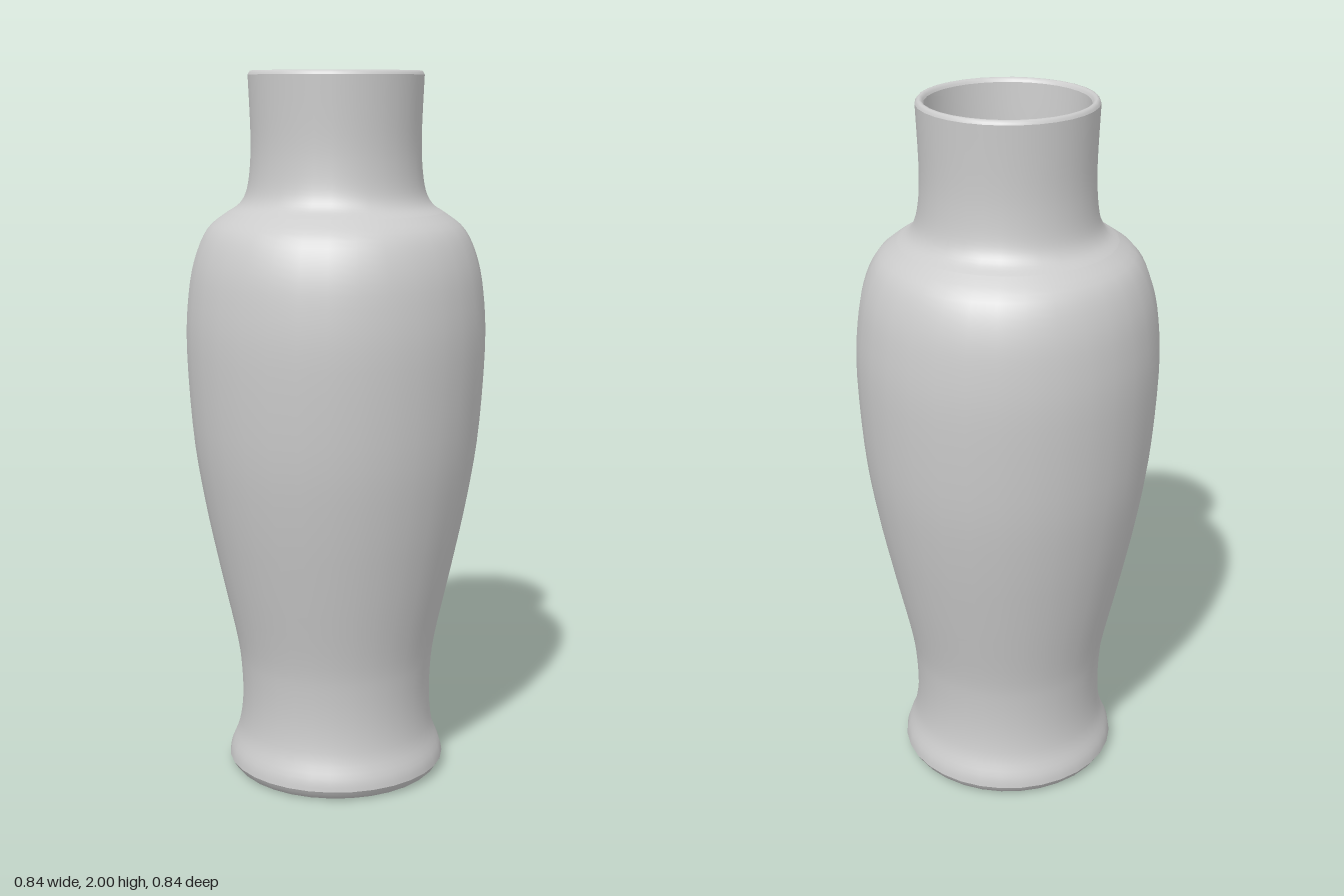
import * as THREE from 'three';

const SEGMENTS = 32;

// Smooth profile curve through a few [radius, height] points
function smooth(points, count) {
  const curve = new THREE.SplineCurve(points.map(([r, y]) => new THREE.Vector2(r, y)));
  return curve.getPoints(count);
}

const straight = (points) => points.map(([r, y]) => new THREE.Vector2(r, y));

export function createModel() {
  const group = new THREE.Group();
  group.name = 'vase';
  const material = new THREE.MeshStandardMaterial({ color: 0xcccccc });

  // Each section is its own lathe, so edges between sections stay sharp
  function turn(name, profile) {
    const mesh = new THREE.Mesh(new THREE.LatheGeometry(profile, SEGMENTS), material);
    mesh.name = name;
    group.add(mesh);
  }

  // Sections run from the underside, up the outside, then down the inside
  turn('recessedBase', straight([[0, 0.04], [0.25, 0.04]]));
  turn('footRing', smooth([[0.25, 0.04], [0.262, 0.012], [0.28, 0], [0.298, 0.006], [0.314, 0.03]], 10));

  turn('body', smooth([
    [0.314, 0.03], [0.308, 0.06], [0.285, 0.12], [0.275, 0.2], [0.277, 0.3], [0.29, 0.4],
    [0.334, 0.6], [0.375, 0.8], [0.405, 1.0], [0.42, 1.25], [0.412, 1.4], [0.392, 1.5],
    [0.356, 1.575], [0.3, 1.62],
  ], 48));

  turn('neck', smooth([
    [0.3, 1.62], [0.268, 1.642], [0.248, 1.68], [0.238, 1.75], [0.236, 1.84], [0.242, 1.99],
  ], 20));

  turn('lip', smooth([[0.242, 1.99], [0.236, 2], [0.226, 2], [0.219, 1.99]], 6));

  turn('innerWall', smooth([
    [0.219, 1.99], [0.212, 1.84], [0.213, 1.7], [0.27, 1.6], [0.36, 1.5], [0.39, 1.25],
    [0.375, 1.0], [0.305, 0.6], [0.26, 0.4], [0.245, 0.22], [0.25, 0.08],
  ], 40));

  turn('innerFloor', straight([[0.25, 0.08], [0, 0.08]]));

  return group;
}
